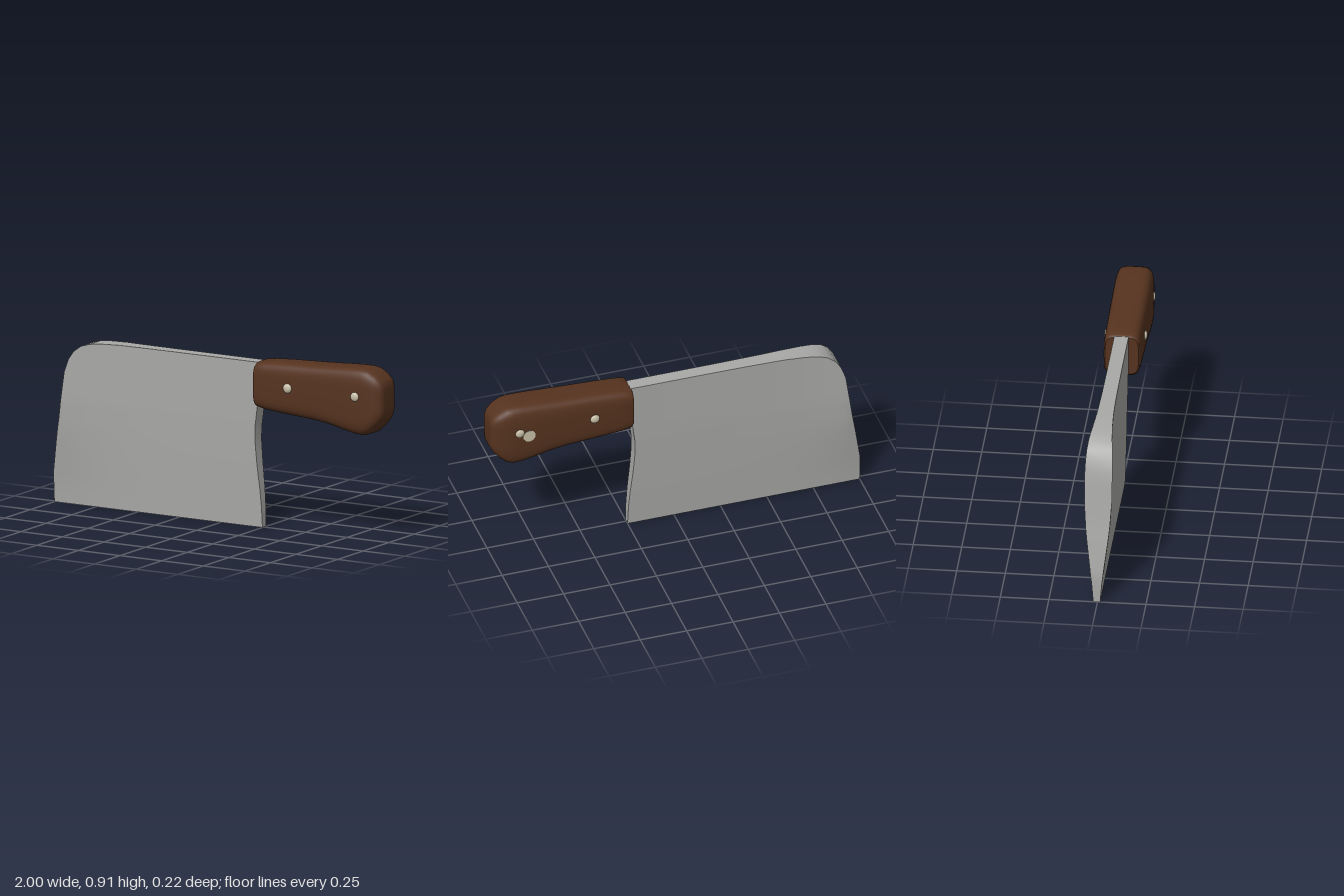
import * as THREE from 'three';

// Piecewise linear lookup in a table of [key, value] pairs
function lookup(table, k) {
  for (let i = 1; i < table.length; i++) {
    const [k0, v0] = table[i - 1], [k1, v1] = table[i];
    if (k <= k1) return v0 + (v1 - v0) * Math.max(0, (k - k0) / (k1 - k0));
  }
  return table[table.length - 1][1];
}

// Skin a grid of points; rows run along i, points along j
function skin(rows, closed = false) {
  const n = rows[0].length, index = [];
  for (let i = 0; i < rows.length - 1; i++) {
    for (let j = 0; j < (closed ? n : n - 1); j++) {
      const k = (j + 1) % n;
      const a = i * n + j, b = i * n + k, c = (i + 1) * n + k, d = (i + 1) * n + j;
      index.push(a, b, c, a, c, d);
    }
  }
  const geo = new THREE.BufferGeometry();
  geo.setAttribute('position', new THREE.Float32BufferAttribute(rows.flat(2), 3));
  geo.setIndex(index);
  geo.computeVertexNormals();
  return geo;
}

// Blade outline: x of the nose and heel against height
const NOSE = [[0, -1], [0.15, -0.998], [0.33, -0.967], [0.45, -0.945], [0.55, -0.93], [0.7, -0.908],
  [0.765, -0.885], [0.81, -0.855], [0.84, -0.815], [0.855, -0.765], [0.862, -0.7], [0.866, -0.6]];
const HEEL = [[0, 0.25], [0.1, 0.247], [0.2, 0.239], [0.33, 0.224], [0.45, 0.214], [0.52, 0.215], [0.62, 0.228], [0.7, 0.24], [0.866, 0.24]];
// Half thickness against height, and the extra swelling at the nose
const BODY = [[0, 0.018], [0.3, 0.029], [0.55, 0.035], [0.866, 0.037]];
const SWELL = [[0, 0], [0.1, 0.004], [0.2, 0.012], [0.3, 0.021], [0.4, 0.03], [0.55, 0.036], [0.866, 0.037]];
const BLADE_Z = -0.004;

function bladeParts() {
  const heights = [...new Set([...NOSE, ...HEEL].map(p => p[0]).concat([0.05, 0.25, 0.4]))].sort((a, b) => a - b);
  const side = s => heights.map(y => {
    const x0 = lookup(NOSE, y), x1 = lookup(HEEL, y), row = [];
    for (let j = 0; j <= 32; j++) {
      const x = x0 + (x1 - x0) * Math.pow(j / 32, 1.4);
      const fade = Math.exp(-Math.pow(Math.max(0, x + 0.92) / 0.22, 1.2));
      row.push([x, y, BLADE_Z + s * (lookup(BODY, y) + lookup(SWELL, y) * fade)]);
    }
    return row;
  });
  const front = side(1), back = side(-1), top = heights.length - 1;
  // Rim strips: cutting edge, heel, then spine running on into the nose
  const bottom = g => g[0];
  const heel = g => g.map(r => r[32]);
  const spine = g => [...g[top]].reverse().concat(g.slice(0, top).reverse().map(r => r[0]));
  const strip = pick => skin([pick(back), pick(front)]);
  return {
    bladeFront: skin(front),
    bladeBack: skin(back.map(r => [...r].reverse())),
    cuttingEdge: strip(bottom),
    bladeHeel: strip(heel),
    bladeSpine: strip(spine),
  };
}

// Handle stations: x, bottom, top, half width
const HANDLE = [
  [0.236, 0.648, 0.862, 0.086], [0.246, 0.638, 0.874, 0.094], [0.3, 0.627, 0.881, 0.096],
  [0.4, 0.618, 0.887, 0.097], [0.5, 0.611, 0.891, 0.098], [0.6, 0.603, 0.895, 0.099],
  [0.68, 0.592, 0.899, 0.1], [0.76, 0.573, 0.904, 0.101], [0.83, 0.559, 0.907, 0.101],
  [0.88, 0.555, 0.907, 0.1], [0.915, 0.567, 0.901, 0.098], [0.955, 0.603, 0.88, 0.09],
  [0.985, 0.64, 0.853, 0.077], [0.998, 0.665, 0.832, 0.06], [1, 0.7, 0.8, 0.038], [1, 0.75, 0.75, 0],
];
const HANDLE_Z = -0.002;

function handleRing([x, y0, y1, w]) {
  const ring = [], power = v => Math.sign(v) * Math.pow(Math.abs(v), 0.46);
  for (let j = 0; j < 48; j++) {
    const t = j / 48 * Math.PI * 2;
    ring.push([x, (y0 + y1) / 2 - power(Math.sin(t)) * (y1 - y0) / 2, HANDLE_Z + power(Math.cos(t)) * w]);
  }
  return ring;
}

export function createModel() {
  const steel = new THREE.MeshStandardMaterial({ color: 0xa9a9a7 });
  steel.name = 'steel';
  const wood = new THREE.MeshStandardMaterial({ color: 0x56331f });
  wood.name = 'wood';
  const rivetMetal = new THREE.MeshStandardMaterial({ color: 0xc9c0a8 });
  rivetMetal.name = 'rivetMetal';

  const model = new THREE.Group();
  model.name = 'cleaver';
  const add = (parent, name, geo, mat) => {
    const mesh = new THREE.Mesh(geo, mat);
    mesh.name = name;
    parent.add(mesh);
    return mesh;
  };

  // Blade
  const blade = new THREE.Group();
  blade.name = 'blade';
  for (const [name, geo] of Object.entries(bladeParts())) add(blade, name, geo, steel);
  model.add(blade);

  // Handle with a flat face against the blade
  const rings = HANDLE.map(handleRing);
  const handle = new THREE.Group();
  handle.name = 'handle';
  add(handle, 'grip', skin(rings, true), wood);
  add(handle, 'gripFace', skin([handleRing([0.236, 0.755, 0.755, 0]), rings[0]], true), wood);
  model.add(handle);

  // Domed rivets on both sides
  const dome = new THREE.SphereGeometry(1, 20, 12);
  for (const x of [0.45, 0.855]) {
    for (const s of [1, -1]) {
      const rivet = add(model, s > 0 ? 'frontRivet' : 'backRivet', dome, rivetMetal);
      rivet.scale.set(0.025, 0.025, 0.014);
      rivet.position.set(x, 0.763, HANDLE_Z + s * 0.097);
    }
  }

  // Flat inlay beside the rear rivet
  const inlay = add(model, 'backInlay', new THREE.CylinderGeometry(0.034, 0.034, 0.006, 10), rivetMetal);
  inlay.rotation.x = Math.PI / 2;
  inlay.position.set(0.805, 0.738, HANDLE_Z - 0.1005);

  return model;
}
